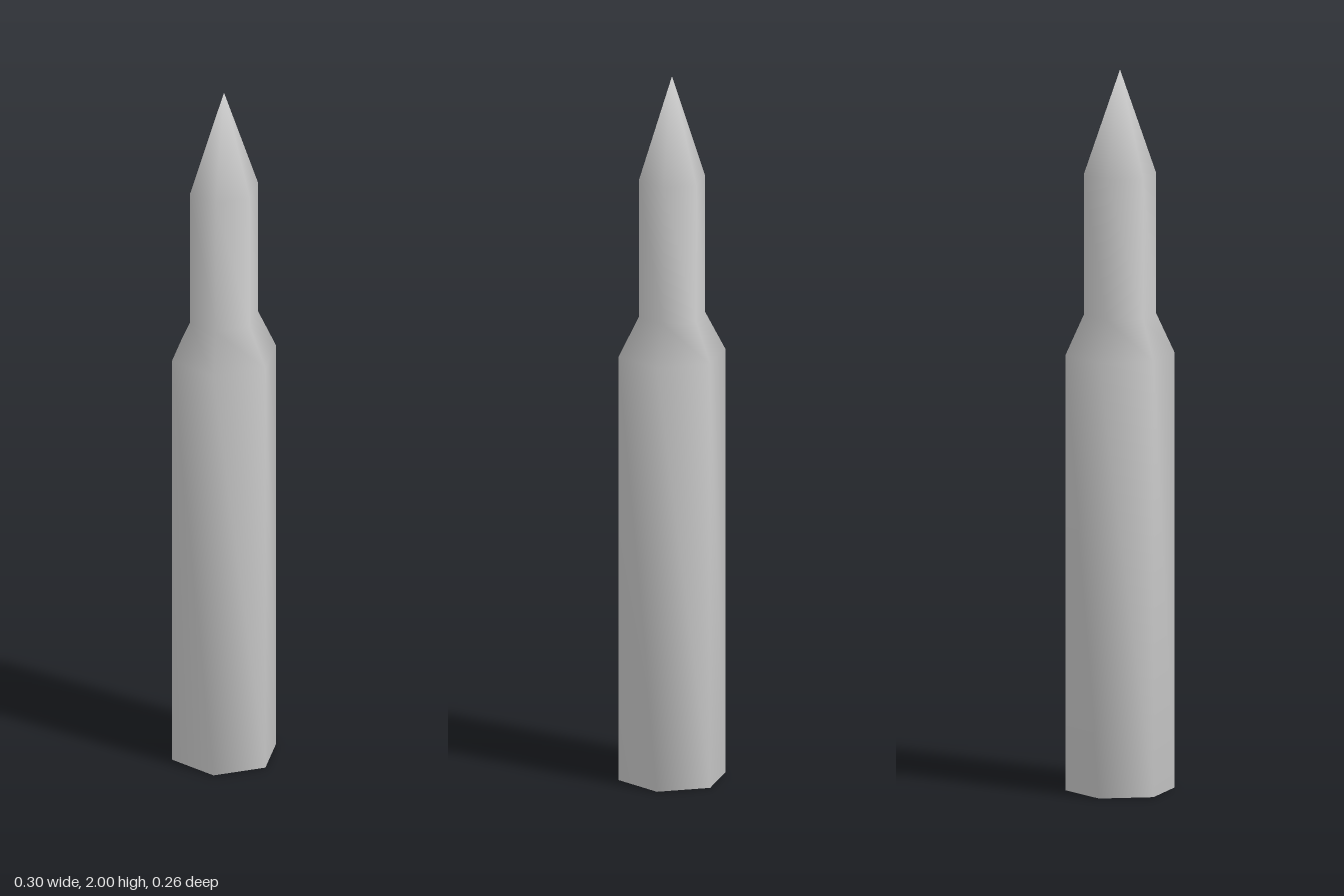
import * as THREE from 'three';
import { mergeVertices } from 'three/addons/utils/BufferGeometryUtils.js';

const BASE_R = 0.15, NECK_R = 0.093;
const SHOULDER_Y = 1.21, NECK_Y = 1.32, TIP_Y = 1.71, TOP_Y = 2;

// Six-sided shell, closed at both ends, with one smooth skin over all edges
function smoothShell() {
  const profile = [
    [0, 0], [BASE_R, 0], [BASE_R, SHOULDER_Y],
    [NECK_R, NECK_Y], [NECK_R, TIP_Y], [0, TOP_Y],
  ].map(([r, y]) => new THREE.Vector2(r, y));
  const lathe = new THREE.LatheGeometry(profile, 6, Math.PI / 2);
  lathe.deleteAttribute('uv');
  lathe.deleteAttribute('normal');

  // The neck is slightly deeper than a regular hexagon
  const p = lathe.attributes.position;
  for (let i = 0; i < p.count; i++) {
    if (p.getY(i) > SHOULDER_Y + 0.05) p.setZ(i, p.getZ(i) * 1.09);
  }
  const shell = mergeVertices(lathe);
  shell.computeVertexNormals();
  return shell;
}

// Cuts out the faces lying between two heights, keeping the shared normals
function band(shell, low, high) {
  const index = shell.index.array, p = shell.attributes.position, kept = [];
  for (let i = 0; i < index.length; i += 3) {
    const [a, b, c] = index.slice(i, i + 3);
    if (a === b || b === c || c === a) continue; // collapsed faces at the poles
    const mid = (p.getY(a) + p.getY(b) + p.getY(c)) / 3;
    if (mid >= low && mid < high) kept.push(a, b, c);
  }
  const part = shell.clone();
  part.setIndex(kept);
  return part.toNonIndexed();
}

export function createModel() {
  const group = new THREE.Group();
  group.name = 'cartridge';
  const material = new THREE.MeshStandardMaterial({ color: 0xcccccc });
  const shell = smoothShell();

  const parts = [
    ['casing', 0, SHOULDER_Y],
    ['shoulder', SHOULDER_Y, NECK_Y],
    ['neck', NECK_Y, TIP_Y],
    ['pointedTip', TIP_Y, TOP_Y],
  ];
  for (const [name, low, high] of parts) {
    const mesh = new THREE.Mesh(band(shell, low, high), material);
    mesh.name = name;
    group.add(mesh);
  }
  return group;
}
